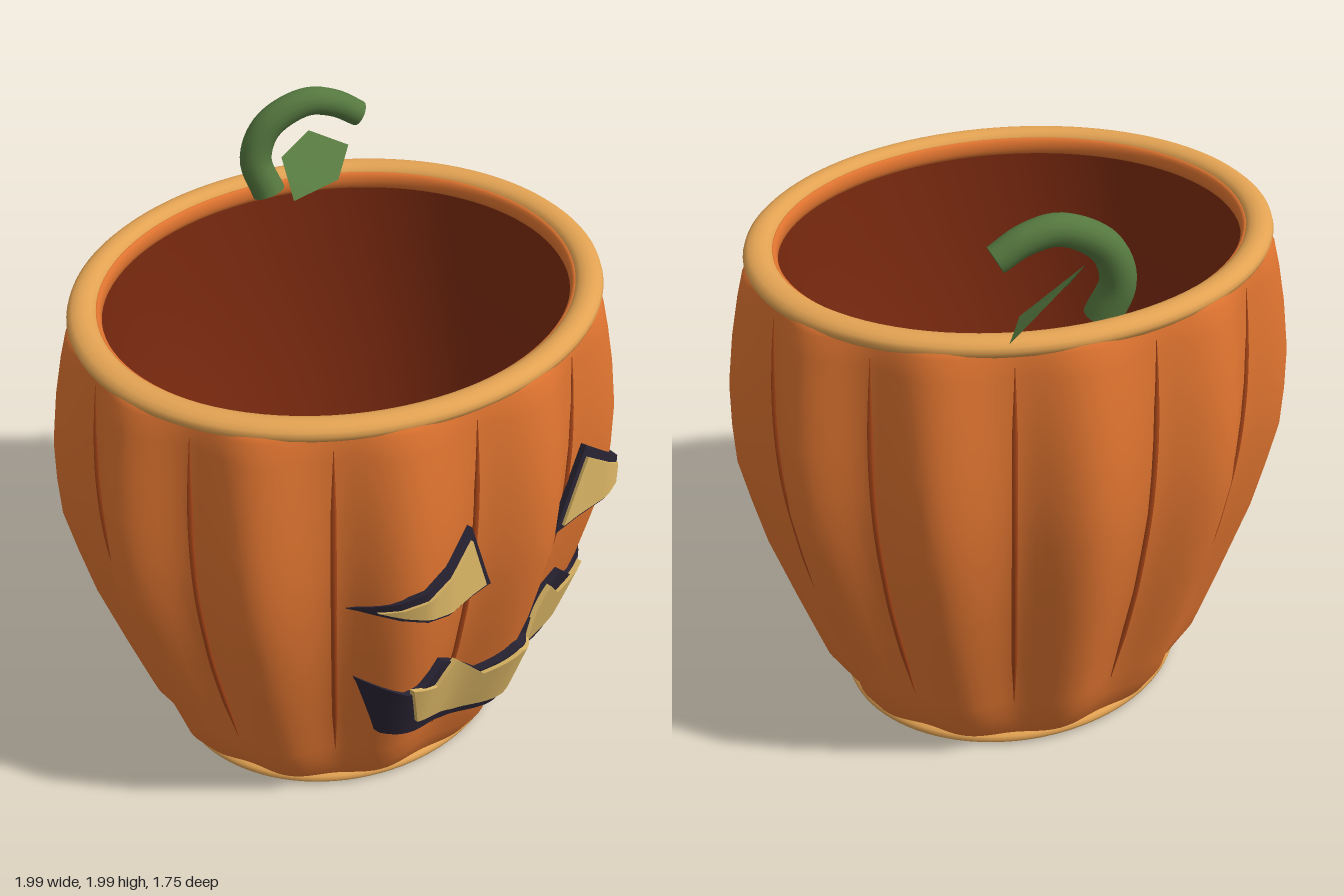
import * as THREE from 'three';
import { mergeVertices, toCreasedNormals } from 'three/addons/utils/BufferGeometryUtils.js';

const DEPTH = 0.88; // the bucket is an ellipse, narrower in z
const LOBES = 12;

const mat = (color, side = THREE.FrontSide) => new THREE.MeshStandardMaterial({ color, side });
const ORANGE = mat(0xdf7430), GROOVE = mat(0xa84618), TAN = mat(0xe3a353), INSIDE = mat(0x7c2a10);
const DARK = mat(0x2a2434, THREE.DoubleSide), CREAM = mat(0xdcb766, THREE.DoubleSide);
const STEM = mat(0x55783f), LEAF = mat(0x55783f, THREE.DoubleSide);

// Piecewise linear lookup in a list of [key, value]
function lookup(pts, k) {
  if (k <= pts[0][0]) return pts[0][1];
  for (let i = 1; i < pts.length; i++) {
    const [a, va] = pts[i - 1], [b, vb] = pts[i];
    if (k <= b) return va + (vb - va) * (k - a) / (b - a);
  }
  return pts[pts.length - 1][1];
}

// [height, crest radius] and [height, lobe depth]
const PROFILE = [[0.03, 0.62], [0.05, 0.65], [0.15, 0.72], [0.24, 0.755], [0.4, 0.815], [0.65, 0.905], [0.82, 0.95],
  [0.98, 0.988], [1.12, 0.995], [1.26, 0.993], [1.42, 0.97], [1.55, 0.942], [1.62, 0.922], [1.645, 0.9], [1.655, 0.86]];
const RIB = [[0.03, 0.03], [0.24, 0.075], [1, 0.095], [1.3, 0.085], [1.55, 0.055], [1.65, 0.035]];

const radius = (angle, y) =>
  lookup(PROFILE, y) * (1 - lookup(RIB, y) * (1 - Math.cos(LOBES * angle)) / 2);

// Depth of the ribbed front wall at x, y
function wallZ(x, y) {
  let angle = 0;
  for (let i = 0; i < 14; i++) angle = Math.asin(Math.min(1, x / radius(angle, y)));
  return DEPTH * radius(angle, y) * Math.cos(angle);
}

function add(parent, name, geometry, material) {
  const mesh = new THREE.Mesh(geometry, material);
  mesh.name = name;
  parent.add(mesh);
  return mesh;
}

function smooth(geometry) {
  geometry.deleteAttribute('uv');
  geometry.deleteAttribute('normal');
  const g = mergeVertices(geometry, 1e-5);
  g.computeVertexNormals();
  return g;
}

// Ribbed outer wall
function bodyGeometry() {
  const g = new THREE.LatheGeometry(PROFILE.map(([y, r]) => new THREE.Vector2(r, y)), LOBES * 14);
  const p = g.attributes.position;
  for (let i = 0; i < p.count; i++) {
    const angle = Math.atan2(p.getX(i), p.getZ(i)), y = p.getY(i), r = radius(angle, y);
    p.setXYZ(i, r * Math.sin(angle), y, r * Math.cos(angle) * DEPTH);
  }
  return smooth(g);
}

// Elliptical ring lying flat
function ring(parent, name, r, tube, height, y, material) {
  const g = new THREE.TorusGeometry(r, tube, 14, 96).rotateX(Math.PI / 2);
  const mesh = add(parent, name, g, material);
  mesh.scale.set(1, height / tube, DEPTH);
  mesh.position.y = y;
}

// Tube along a curve with a radius that varies by t, closed at the ends
function taperedTube(curve, steps, sides, radiusAt) {
  const g = new THREE.TubeGeometry(curve, steps, 1, sides);
  const p = g.attributes.position, v = new THREE.Vector3();
  for (let i = 0; i < p.count; i++) {
    const t = Math.floor(i / (sides + 1)) / steps, c = curve.getPointAt(t);
    v.fromBufferAttribute(p, i).sub(c).multiplyScalar(radiusAt(t)).add(c);
    p.setXYZ(i, v.x, v.y, v.z);
  }
  return smooth(g);
}

// Sheet between a lower and an upper outline, bent to depth z(x, y), with edges turned back
function panelGeometry(lower, upper, zAt, thickness) {
  const breaks = [...new Set([...lower, ...upper].map(p => p[0]))].sort((a, b) => a - b);
  const xs = [breaks[0]];
  for (let i = 1; i < breaks.length; i++) {
    const n = Math.ceil((breaks[i] - breaks[i - 1]) / 0.02);
    for (let k = 1; k <= n; k++) xs.push(breaks[i - 1] + (breaks[i] - breaks[i - 1]) * k / n);
  }
  const rows = 10, stride = rows + 3, pos = [], index = [];
  xs.forEach((x, i) => {
    for (let j = -1; j <= rows + 1; j++) {
      const t = Math.min(1, Math.max(0, j / rows));
      const y = THREE.MathUtils.lerp(lookup(lower, x), lookup(upper, x), t);
      pos.push(x, y, zAt(Math.abs(x), y) - (j < 0 || j > rows ? thickness : 0));
    }
    if (i === 0) return;
    for (let j = 0; j < stride - 1; j++) {
      const a = (i - 1) * stride + j, b = i * stride + j;
      index.push(a, b, b + 1, a, b + 1, a + 1);
    }
  });
  const g = new THREE.BufferGeometry();
  g.setAttribute('position', new THREE.Float32BufferAttribute(pos, 3));
  g.setIndex(index);
  return toCreasedNormals(g, 0.8);
}

const flip = pts => pts.map(([x, y]) => [-x, y]).reverse();
const both = half => [...flip(half.filter(p => p[0] > 0)), ...half]; // half runs from x = 0 outwards

export function createModel() {
  const model = new THREE.Group();
  model.name = 'pumpkinBucket';

  // Bucket shell
  add(model, 'ribbedBody', bodyGeometry(), ORANGE);
  ring(model, 'topRim', 0.86, 0.05, 0.032, 1.64, TAN);
  ring(model, 'innerLip', 0.812, 0.016, 0.03, 1.62, ORANGE);
  ring(model, 'baseRim', 0.6, 0.04, 0.026, 0.028, TAN);

  const inner = [[0.81, 1.63], [0.815, 1.3], [0.78, 0.9], [0.69, 0.45], [0.59, 0.12]];
  const liner = new THREE.LatheGeometry(inner.map(([r, y]) => new THREE.Vector2(r, y)), 96);
  add(model, 'innerWall', liner, INSIDE).scale.z = DEPTH;
  const floor = add(model, 'innerFloor', new THREE.CircleGeometry(0.595, 96).rotateX(-Math.PI / 2), INSIDE);
  floor.position.y = 0.12;
  floor.scale.z = DEPTH;
  const base = add(model, 'underside', new THREE.CircleGeometry(0.61, 96).rotateX(Math.PI / 2), ORANGE);
  base.position.y = 0.015;
  base.scale.z = DEPTH;

  // Thin ridge line in every valley
  const grooves = new THREE.Group();
  grooves.name = 'grooveLines';
  model.add(grooves);
  for (let i = 0; i < LOBES; i++) {
    const angle = (i + 0.5) * Math.PI * 2 / LOBES, pts = [];
    for (let k = 0; k <= 12; k++) {
      const y = 0.23 + k * 1.35 / 12, r = radius(angle, y) + 0.001;
      pts.push(new THREE.Vector3(r * Math.sin(angle), y, r * Math.cos(angle) * DEPTH));
    }
    const g = taperedTube(new THREE.CatmullRomCurve3(pts), 30, 6,
      t => 0.001 + 0.009 * Math.min(1, 6 * t, 6 * (1 - t)));
    add(grooves, 'grooveLine', g, GROOVE);
  }

  // Eyes: cream triangles on dark triangles, bowed slightly off the wall
  const bow = [[0.16, 0.79], [0.28, 0.8], [0.4, 0.818], [0.48, 0.8], [0.54, 0.735], [0.61, 0.575]];
  const eyeZ = lift => (x, y) => Math.max(wallZ(x, y) + 0.008, lookup(bow, x)) + lift;
  const eyes = [
    ['eyeOutline', [[0.165, 0.945], [0.612, 1.005]], [[0.165, 0.945], [0.287, 1.24], [0.612, 1.005]], 0, DARK],
    ['eye', [[0.2, 0.968], [0.57, 1.012]], [[0.2, 0.968], [0.292, 1.195], [0.57, 1.012]], 0.01, CREAM],
  ];
  for (const [name, low, high, lift, material] of eyes) {
    add(model, name + 'Left', panelGeometry(low, high, eyeZ(lift), 0.02), material);
    add(model, name + 'Right', panelGeometry(flip(low), flip(high), eyeZ(lift), 0.02), material);
  }

  // Mouth: cream jagged grin on a larger dark one
  const mouthZ = lift => (x, y) => wallZ(x, y) + lift * (1 - 0.6 * x);
  add(model, 'mouthOutline', panelGeometry(
    both([[0, 0.29], [0.19, 0.29], [0.455, 0.38], [0.555, 0.68]]),
    both([[0, 0.585], [0.12, 0.52], [0.24, 0.625], [0.31, 0.68], [0.39, 0.605], [0.44, 0.6], [0.555, 0.68]]),
    mouthZ(0.034), 0.04), DARK);
  add(model, 'mouth', panelGeometry(
    both([[0, 0.337], [0.175, 0.337], [0.365, 0.42], [0.443, 0.635]]),
    both([[0, 0.575], [0.12, 0.512], [0.25, 0.65], [0.32, 0.57], [0.443, 0.635]]),
    mouthZ(0.05), 0.02), CREAM);

  // Curled stem with a capped tip
  const stemPath = new THREE.CatmullRomCurve3([[0.305, 1.64, -0.61], [0.283, 1.76, -0.648], [0.325, 1.875, -0.63],
    [0.44, 1.947, -0.56], [0.53, 1.93, -0.505], [0.605, 1.88, -0.46]].map(p => new THREE.Vector3(...p)));
  add(model, 'stem', taperedTube(stemPath, 32, 16, t => 0.058 - 0.014 * t), STEM);
  const tip = add(model, 'stemTip', new THREE.CircleGeometry(0.044, 16), STEM);
  const end = stemPath.getPointAt(1);
  tip.position.copy(end);
  tip.lookAt(end.clone().add(stemPath.getTangentAt(1)));

  // Flat leaf under the stem, leaning back over the rim
  const leafPts = [[0.265, 1.675, -0.45], [0.5, 1.665, -0.46], [0.69, 1.69, -0.585], [0.52, 1.795, -0.62], [0.31, 1.79, -0.55]];
  const leaf = new THREE.BufferGeometry();
  leaf.setAttribute('position', new THREE.Float32BufferAttribute(leafPts.flat(), 3));
  leaf.setIndex([0, 1, 4, 1, 3, 4, 1, 2, 3]);
  add(model, 'leaf', toCreasedNormals(leaf, 0.3), LEAF);

  return model;
}
